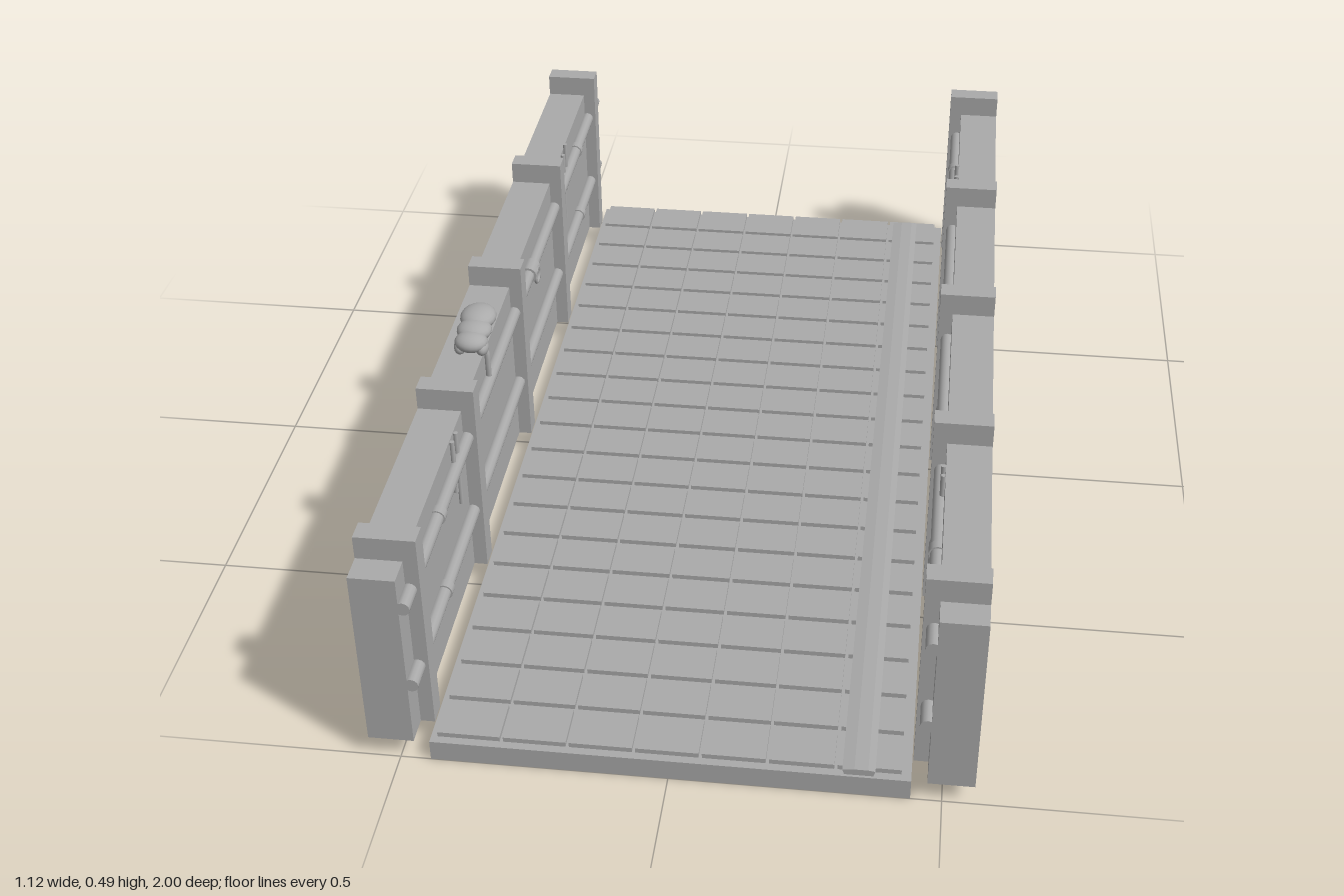
import * as THREE from 'three';

const concrete = new THREE.MeshStandardMaterial({ color: 0xaaaaaa });
concrete.name = 'concreteGrey';

function add(parent, name, geometry, x = 0, y = 0, z = 0) {
  const mesh = new THREE.Mesh(geometry, concrete);
  mesh.name = name;
  mesh.position.set(x, y, z);
  parent.add(mesh);
  return mesh;
}

// Box given by its limits on each axis
function block(parent, name, x0, x1, y0, y1, z0, z1) {
  return add(parent, name, new THREE.BoxGeometry(Math.abs(x1 - x0), y1 - y0, z1 - z0),
    (x0 + x1) / 2, (y0 + y1) / 2, (z0 + z1) / 2);
}

function pipe(parent, name, r, length, x, y, z) {
  const g = new THREE.CylinderGeometry(r, r, length, 12).rotateX(Math.PI / 2);
  return add(parent, name, g, x, y, z);
}

// Slab with a grid of paving tiles and a smooth raised strip
function makeFloor() {
  const floor = new THREE.Group();
  floor.name = 'floor';
  block(floor, 'floorSlab', -0.443, 0.443, 0, 0.043, -1, 1);
  const columns = [-0.434, -0.311, -0.188, -0.065, 0.058, 0.181, 0.306, 0.428];
  const rows = 20, pitch = 1.99 / rows, gap = 0.006;
  for (let i = 0; i < columns.length - 1; i++) {
    for (let j = 0; j < rows; j++) {
      const z = -1 + j * pitch;
      block(floor, 'pavingTile', columns[i] + gap / 2, columns[i + 1] - gap / 2,
        0.042, 0.053, z + (j ? gap : 0), z + pitch - gap);
    }
  }
  const profile = new THREE.Shape([[0.322, 0.042], [0.374, 0.042], [0.378, 0.0545],
    [0.365, 0.0565], [0.34, 0.0565], [0.318, 0.0535]].map(p => new THREE.Vector2(...p)));
  const strip = new THREE.ExtrudeGeometry(profile, { depth: 1.99, bevelEnabled: false });
  add(floor, 'smoothStrip', strip, 0, 0, -0.995);
  return floor;
}

// Side wall with pillars, two long pipes and small fittings
function makeWall(side) {
  const wall = new THREE.Group();
  wall.name = side > 0 ? 'leftWall' : 'rightWall';
  block(wall, 'wallPanel', side * 0.472, side * 0.558, 0.042, 0.423, -1, 1);
  for (let i = -2; i <= 2; i++) {
    const z = i * 0.462;
    block(wall, 'pillar', side * 0.445, side * 0.5585, 0.0415, 0.47, z - 0.021, z + 0.021);
  }
  for (const y of [0.18, 0.36]) {
    pipe(wall, 'longPipe', 0.014, 2, side * 0.465, y, 0);
    for (const z of [-0.73, 0.73]) pipe(wall, 'pipeCoupling', 0.017, 0.02, side * 0.465, y, z);
  }
  // Valve on the lower middle of the upper pipe
  pipe(wall, 'valveBody', 0.019, 0.045, side * 0.465, 0.36, -0.155);
  const wheel = add(wall, 'valveWheel', new THREE.TorusGeometry(0.017, 0.004, 6, 14),
    side * 0.449, 0.35, -0.155);
  wheel.rotation.y = Math.PI / 2;
  // Thin hanging conduits
  for (const [z, y0, y1] of [[-0.59, 0.25, 0.42], [-0.62, 0.31, 0.433], [0.55, 0.25, 0.42], [0.58, 0.3, 0.42]]) {
    add(wall, 'hangingConduit', new THREE.CylinderGeometry(0.005, 0.005, y1 - y0, 8),
      side * 0.468, (y0 + y1) / 2, z);
  }
  return wall;
}

// Lumpy rounded bundle lying on one wall
function makeBundle() {
  const bundle = new THREE.Group();
  bundle.name = 'restingBundle';
  const lumps = [
    [-0.493, 0.471, 0.215, 0.037, 0.021, 0.043],
    [-0.493, 0.464, 0.255, 0.036, 0.02, 0.035],
    [-0.493, 0.457, 0.288, 0.034, 0.02, 0.03],
    [-0.515, 0.446, 0.29, 0.013, 0.016, 0.02],
    [-0.47, 0.446, 0.29, 0.013, 0.016, 0.02],
  ];
  for (const [x, y, z, a, b, c] of lumps) {
    add(bundle, 'lump', new THREE.SphereGeometry(1, 18, 12).scale(a, b, c), x, y, z);
  }
  // Thin tail drooping over the inner edge of the wall
  const path = new THREE.CatmullRomCurve3([[-0.485, 0.45, 0.28], [-0.466, 0.435, 0.282],
    [-0.463, 0.4, 0.283], [-0.464, 0.345, 0.28]].map(p => new THREE.Vector3(...p)));
  add(bundle, 'droopingTail', new THREE.TubeGeometry(path, 16, 0.006, 8));
  return bundle;
}

export function createModel() {
  const model = new THREE.Group();
  model.name = 'walledWalkway';
  model.add(makeFloor(), makeWall(1), makeWall(-1), makeBundle());
  return model;
}
